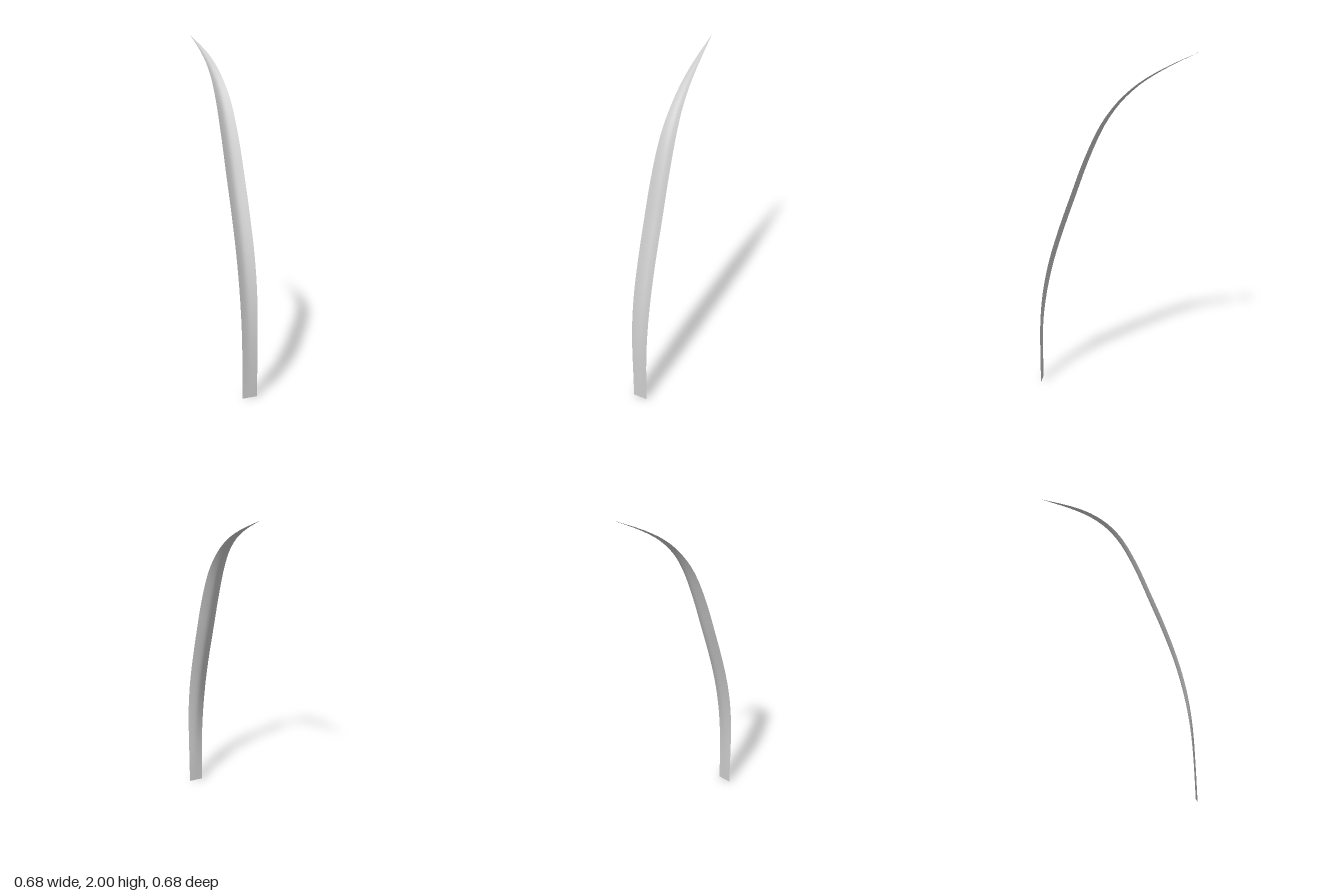
import * as THREE from 'three';

// Stations up the blade: [height, lean (x = z), half width, gutter depth]
const stations = [
  [0, 0.308, 0.044, 0], [0.2, 0.307, 0.045, 0.004], [0.4, 0.303, 0.048, 0.01],
  [0.6, 0.288, 0.052, 0.018], [0.8, 0.258, 0.054, 0.023], [1.0, 0.214, 0.054, 0.025],
  [1.2, 0.163, 0.054, 0.025], [1.4, 0.11, 0.052, 0.024], [1.6, 0.043, 0.046, 0.021],
  [1.73, -0.025, 0.036, 0.016], [1.83, -0.105, 0.027, 0.011], [1.91, -0.2, 0.017, 0.006],
  [2.0, -0.338, 0.0005, 0],
];
const ROWS = 36;
const COLS = 8;

export function createModel() {
  const group = new THREE.Group();
  group.name = 'grassBlade';

  // Spine in the leaning plane, with width and depth as a companion curve
  const spine = new THREE.CatmullRomCurve3(stations.map(([y, s]) => new THREE.Vector3(s, y, s)));
  const section = new THREE.CatmullRomCurve3(stations.map(([y, , w, h]) => new THREE.Vector3(w, h, y)));
  const across = new THREE.Vector3(1, 0, -1).normalize();

  // Sweep a shallow gutter section, open to the front and flat at the base
  const positions = [];
  const indices = [];
  for (let i = 0; i <= ROWS; i++) {
    const t = i / ROWS;
    const centre = spine.getPoint(t);
    const { x: halfWidth, y: depth } = section.getPoint(t);
    const facing = new THREE.Vector3().crossVectors(across, spine.getTangent(t)).normalize();
    for (let j = 0; j <= COLS; j++) {
      const a = (j / COLS) * 2 - 1;
      const sink = -depth * (1 - Math.pow(Math.abs(a), 1.4));
      const p = centre.clone().addScaledVector(across, a * halfWidth).addScaledVector(facing, sink);
      positions.push(p.x, p.y, p.z);
      if (i < ROWS && j < COLS) {
        const k = i * (COLS + 1) + j;
        const up = k + COLS + 1;
        indices.push(k, k + 1, up + 1, k, up + 1, up);
      }
    }
  }
  const geometry = new THREE.BufferGeometry();
  geometry.setAttribute('position', new THREE.Float32BufferAttribute(positions, 3));
  geometry.setIndex(indices);
  geometry.computeVertexNormals();

  const blade = new THREE.Mesh(
    geometry,
    new THREE.MeshStandardMaterial({ color: 0xcccccc, side: THREE.DoubleSide }),
  );
  blade.name = 'blade';
  group.add(blade);
  return group;
}
